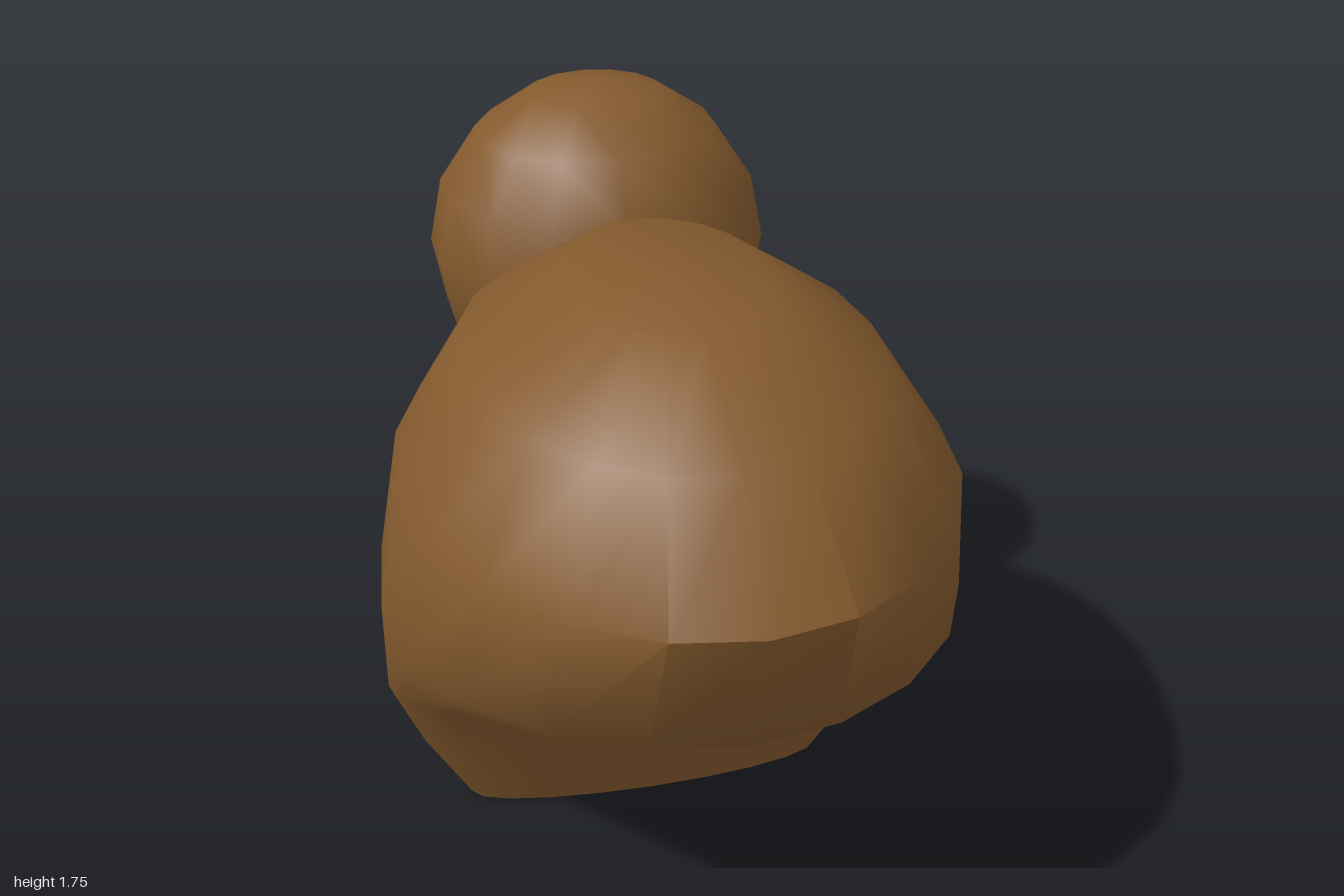
import * as THREE from 'three';
import { toCreasedNormals } from 'three/addons/utils/BufferGeometryUtils.js';

const SIDES = 20;

// Horizontal rings of the hair: height, half width, front z, back z, z of the widest point
const RINGS = [
  [0.00, 0.47, 0.01, -0.54, -0.08],
  [0.22, 0.59, 0.11, -0.62, -0.04],
  [0.435, 0.675, 0.24, -0.69, 0.00],
  [0.78, 0.69, 0.88, -0.72, 0.17],
  [1.13, 0.64, 1.00, -0.60, 0.22],
  [1.385, 0.475, 0.78, -0.45, 0.17],
  [1.55, 0.23, 0.47, -0.17, 0.15],
];

// Oval rings joined into a closed skin, with a fan at each end
function loft(rings) {
  const pos = [], idx = [];
  for (const [y, w, front, back, mid] of rings) {
    for (let i = 0; i < SIDES; i++) {
      const a = (i / SIDES) * Math.PI * 2, c = Math.cos(a);
      pos.push(w * Math.sin(a), y, mid + c * (c > 0 ? front - mid : mid - back));
    }
  }
  const last = rings.length - 1;
  const bottom = pos.length / 3, top = bottom + 1;
  pos.push(0, rings[0][0], rings[0][4], 0, rings[last][0], rings[last][4]);
  for (let i = 0; i < SIDES; i++) {
    const j = (i + 1) % SIDES;
    for (let r = 0; r < last; r++) {
      const a = r * SIDES + i, b = r * SIDES + j;
      idx.push(a, b, b + SIDES, a, b + SIDES, a + SIDES);
    }
    idx.push(bottom, j, i, top, last * SIDES + i, last * SIDES + j);
  }
  const g = new THREE.BufferGeometry();
  g.setAttribute('position', new THREE.Float32BufferAttribute(pos, 3));
  g.setIndex(idx);
  return toCreasedNormals(g, 1.0);
}

export function createModel() {
  const model = new THREE.Group();
  model.name = 'hairWithBun';
  const brown = new THREE.MeshStandardMaterial({ color: 0x845a2e });
  brown.name = 'brown hair';

  // Main mass with the overhanging fringe
  const hair = new THREE.Mesh(loft(RINGS), brown);
  hair.name = 'hair';

  // Bun at the back of the crown
  const ball = new THREE.SphereGeometry(1, 14, 8);
  ball.rotateY(Math.PI / 2);
  ball.scale(0.43, 0.43, 0.385);
  const bun = new THREE.Mesh(ball, brown);
  bun.name = 'bun';
  bun.position.set(0, 1.32, -0.615);

  model.add(hair, bun);
  return model;
}
